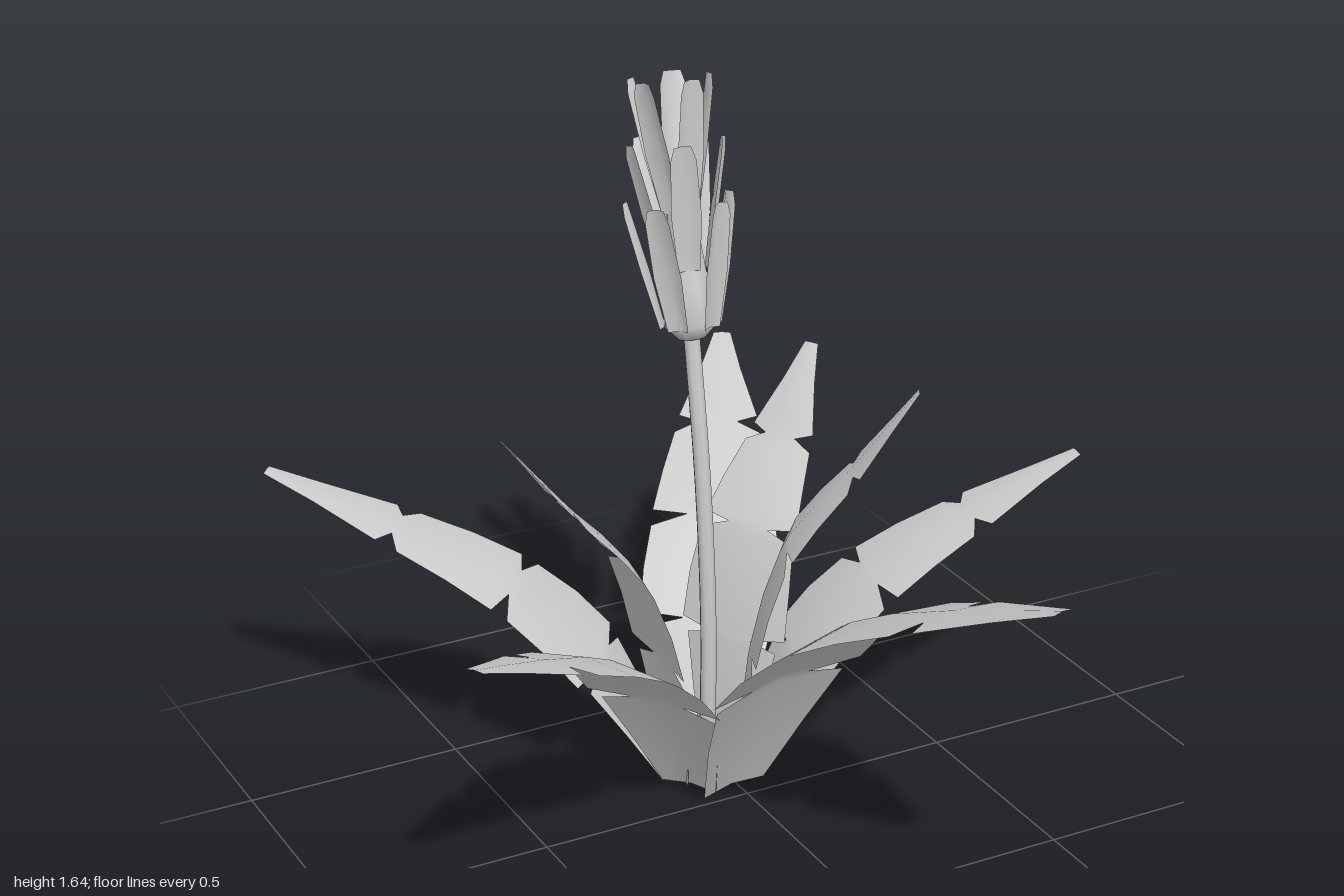
import * as THREE from 'three';

const material = new THREE.MeshStandardMaterial({ color: 0xcccccc, side: THREE.DoubleSide });
const BASE = new THREE.Vector3(-0.03, 0, -0.14);

// [position along the leaf, half width]; the narrow rows are the torn notches
const LEAF_ROWS = [
  [0, 0.065], [0.12, 0.105], [0.235, 0.135], [0.25, 0.06], [0.265, 0.157], [0.37, 0.153], [0.475, 0.14],
  [0.5, 0.06], [0.515, 0.138], [0.62, 0.12], [0.725, 0.098], [0.75, 0.045], [0.77, 0.09], [0.9, 0.047], [1, 0.02],
];
const PETAL_ROWS = [[0, 0.024], [0.45, 0.033], [0.9, 0.028], [1, 0.019]];

// Folded strip along a curve: left edge, midrib and right edge for each row
function strip(curve, side, rows, widthScale, fold) {
  const pos = [], index = [];
  rows.forEach(([u, w], i) => {
    const p = curve.getPoint(u);
    const normal = new THREE.Vector3().crossVectors(side, curve.getTangent(u)).normalize();
    const hw = w * widthScale;
    for (const s of [-1, 0, 1]) {
      const v = p.clone().addScaledVector(side, s * hw).addScaledVector(normal, Math.abs(s) * hw * fold);
      pos.push(v.x, v.y, v.z);
    }
    if (i === 0) return;
    for (const k of [0, 1]) {
      const a = (i - 1) * 3 + k, b = i * 3 + k;
      index.push(a, a + 1, b, a + 1, b + 1, b);
    }
  });
  const g = new THREE.BufferGeometry();
  g.setAttribute('position', new THREE.Float32BufferAttribute(pos, 3));
  g.setIndex(index);
  g.computeVertexNormals();
  return g;
}

function addMesh(parent, geometry, name) {
  const mesh = new THREE.Mesh(geometry, material);
  mesh.name = name;
  parent.add(mesh);
  return mesh;
}

// Leaf arching from the base to a tip, following a normalised [reach, height] profile
function leafGeometry(tip, profile, widthScale) {
  const dx = tip[0] - BASE.x, dz = tip[2] - BASE.z;
  const curve = new THREE.CatmullRomCurve3(profile.map(([r, h]) =>
    new THREE.Vector3(BASE.x + dx * r, tip[1] * h, BASE.z + dz * r)));
  const side = new THREE.Vector3(-dz, 0, dx).normalize();
  return strip(curve, side, LEAF_ROWS, widthScale, -0.13);
}

export function createModel() {
  const model = new THREE.Group();
  model.name = 'floweringPlant';

  // Wide, low outer leaves
  const outer = [[0.08, 0], [0.23, 0.4], [0.43, 0.66], [0.7, 0.84], [1, 1]];
  const outerLeaves = new THREE.Group();
  outerLeaves.name = 'outerLeaves';
  [
    [[0.16, 0.865, 1], 1.3], [[0.85, 0.67, 0.01], 1], [[0.46, 0.68, -0.99], 1.05],
    [[-0.82, 0.67, -0.77], 1.05], [[-0.84, 0.72, 0.43], 1.05],
  ].forEach(([tip, w]) => addMesh(outerLeaves, leafGeometry(tip, outer, w), 'outerLeaf'));
  model.add(outerLeaves);

  // Narrower, steeper inner leaves
  const inner = [[0.14, 0], [0.21, 0.33], [0.38, 0.61], [0.69, 0.8], [1, 1]];
  const innerLeaves = new THREE.Group();
  innerLeaves.name = 'innerLeaves';
  [[-0.51, 0.915, -0.15], [0.37, 0.89, -0.38], [0.37, 0.95, 0.1]]
    .forEach(tip => addMesh(innerLeaves, leafGeometry(tip, inner, 0.86), 'innerLeaf'));
  model.add(innerLeaves);

  // Gently curved stem
  const stemPath = new THREE.CatmullRomCurve3([
    new THREE.Vector3(-0.04, 0.02, -0.12), new THREE.Vector3(-0.04, 0.4, -0.11),
    new THREE.Vector3(-0.04, 0.75, -0.135), new THREE.Vector3(-0.04, 1.08, -0.185),
  ]);
  addMesh(model, new THREE.TubeGeometry(stemPath, 12, 0.019, 8), 'stem');

  // Flower head, leaning back with the stem
  const flower = new THREE.Group();
  flower.name = 'flowerHead';
  flower.position.set(-0.04, 1.05, -0.18);
  flower.rotation.x = -0.17;
  const cup = [[0.0, 0], [0.03, 0.002], [0.062, 0.035], [0.05, 0.12], [0.03, 0.3]]
    .map(([r, y]) => new THREE.Vector2(r, y));
  addMesh(flower, new THREE.LatheGeometry(cup, 8), 'flowerCup');

  // Three tiers of petals: count, start angle, bottom and top [radius, height]
  [
    [5, 0.35, [0.055, 0.03], [0.115, 0.31]],
    [5, 0.95, [0.042, 0.16], [0.1, 0.44]],
    [5, 0.1, [0.025, 0.28], [0.082, 0.575]],
  ].forEach(([count, start, [r0, y0], [r1, y1]]) => {
    for (let i = 0; i < count; i++) {
      const a = start + (i / count) * Math.PI * 2;
      const at = (r, y) => new THREE.Vector3(Math.sin(a) * r, y, Math.cos(a) * r);
      const curve = new THREE.CatmullRomCurve3([
        at(r0, y0), at(r0 + (r1 - r0) * 0.45, (y0 + y1) / 2), at(r1, y1)]);
      const side = new THREE.Vector3(Math.cos(a), 0, -Math.sin(a));
      addMesh(flower, strip(curve, side, PETAL_ROWS, 1, 0.4), 'petal');
    }
  });
  model.add(flower);
  return model;
}
